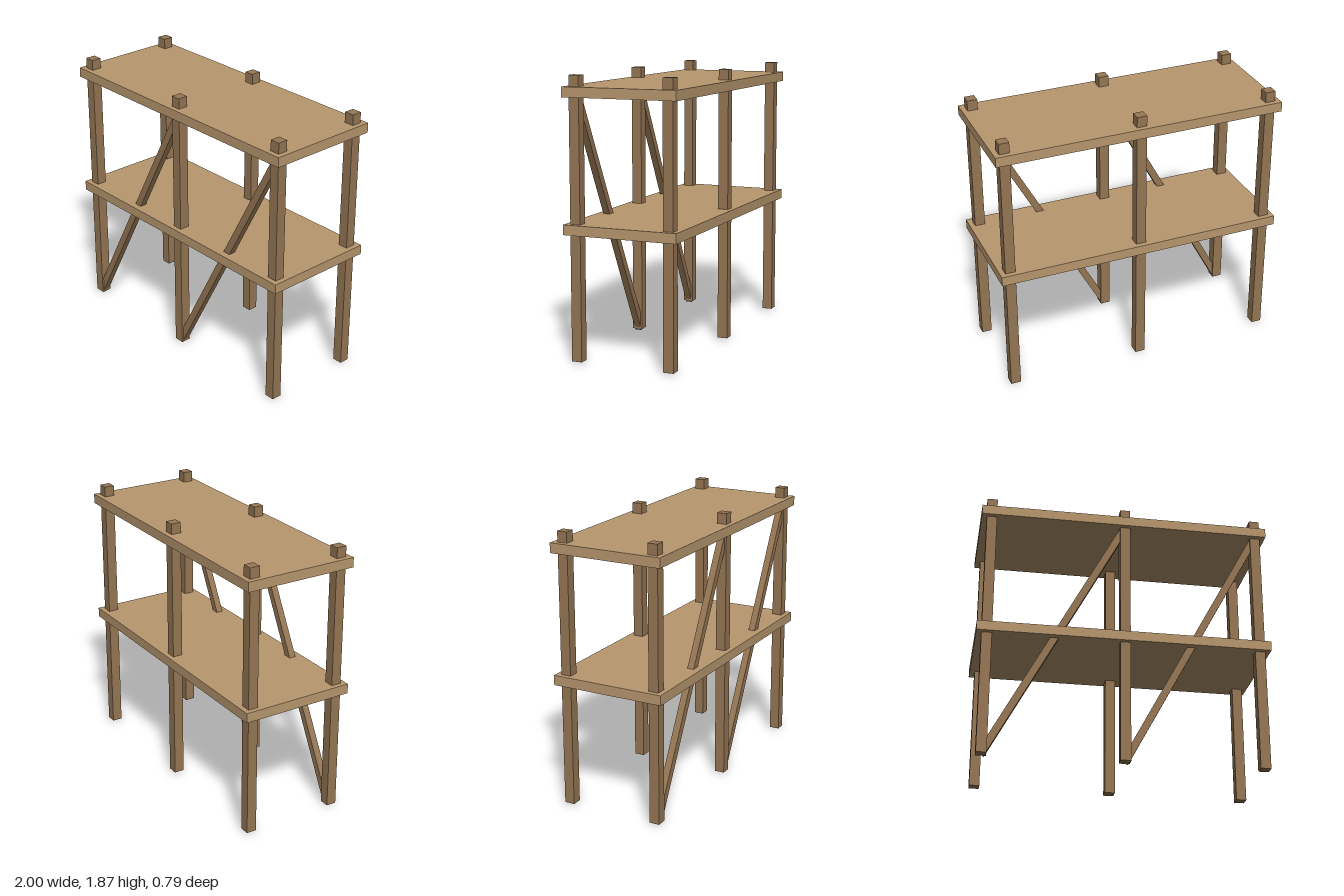
import * as THREE from 'three';

export function createModel() {
  const model = new THREE.Group();
  model.name = 'scaffold';
  const postWood = new THREE.MeshStandardMaterial({ color: 0x967754 });
  const deckWood = new THREE.MeshStandardMaterial({ color: 0xb8976e });

  const addBox = (name, size, position, material) => {
    const mesh = new THREE.Mesh(new THREE.BoxGeometry(...size), material);
    mesh.name = name;
    mesh.position.set(...position);
    model.add(mesh);
    return mesh;
  };

  const span = 0.93, postZ = 0.325, bottom = 0.012, top = 1.875;

  // Six upright posts, in a front and a back row
  for (const x of [-span, 0, span]) {
    for (const z of [-postZ, postZ]) {
      addBox('post', [0.07, top - bottom, 0.07], [x, (top + bottom) / 2, z], postWood);
    }
  }

  // Two plank decks
  addBox('lowerDeck', [2, 0.067, 0.79], [0, 0.886, 0], deckWood);
  addBox('upperDeck', [2, 0.067, 0.79], [0, 1.769, 0], deckWood);

  // Diagonal braces in the front row, from a post's foot to the next post's top
  const rise = 1.733;
  for (const x of [-span, 0]) {
    const brace = addBox('brace', [0.05, Math.hypot(span, rise), 0.047],
      [x + span / 2, bottom + rise / 2, postZ], postWood);
    brace.rotation.z = -Math.atan2(span, rise);
  }
  return model;
}
